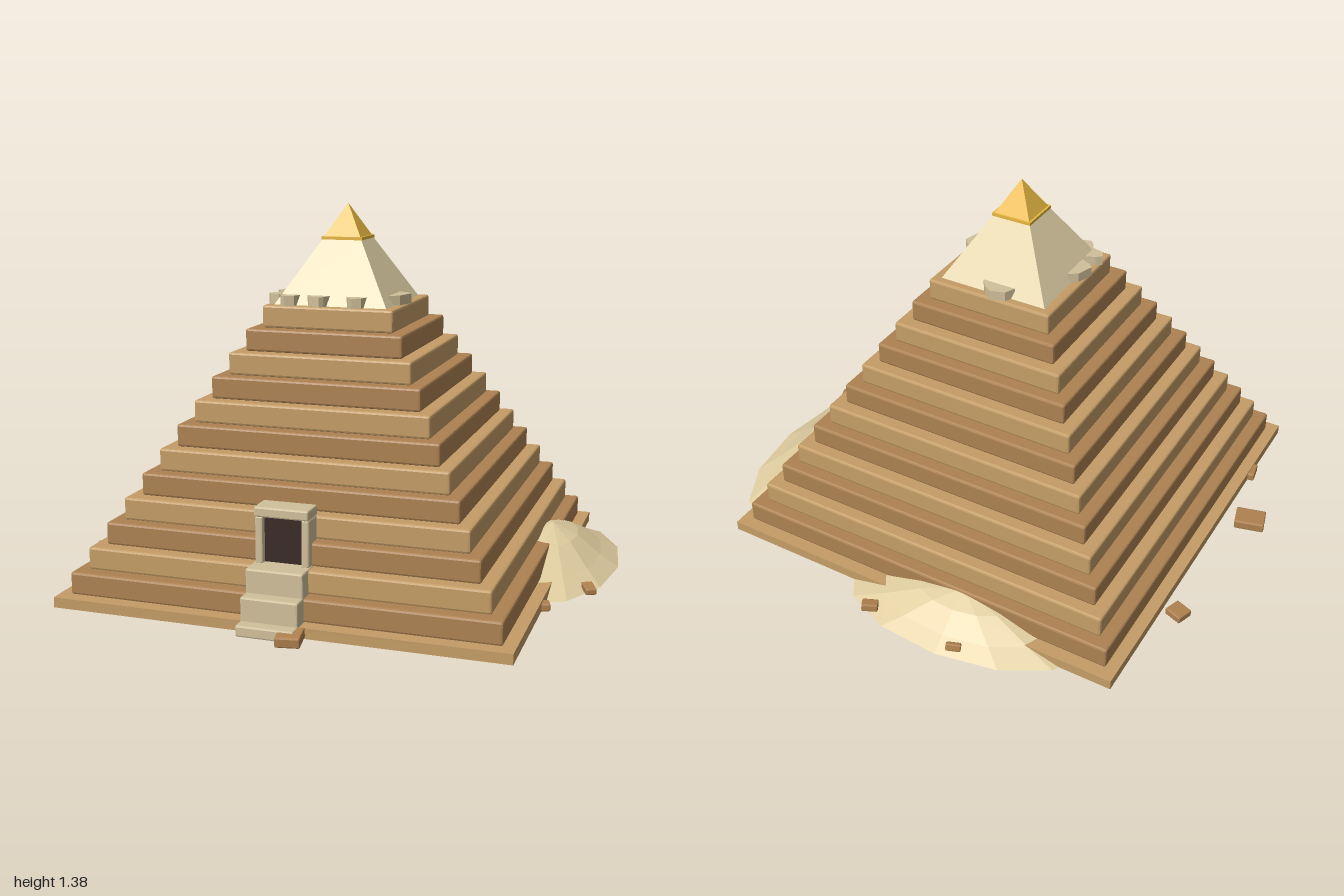
import * as THREE from 'three';
import { RoundedBoxGeometry } from 'three/addons/geometries/RoundedBoxGeometry.js';

const mat = (color, side = THREE.FrontSide) =>
  new THREE.MeshStandardMaterial({ color, flatShading: true, side });

const M = {
  light: mat(0xc49d66), dark: mat(0xad8252), casing: mat(0xe3d3a8), gold: mat(0xe8b840),
  stone: mat(0xd0c09a), doorway: mat(0x3a2a25), sand: mat(0xe0cda0, THREE.DoubleSide), brick: mat(0xb0824f),
};

// Centre of the pyramid on the ground
const CX = -0.01, CZ = 0.037;

export function createModel() {
  const root = new THREE.Group();

  const add = (name, geometry, material, x, y, z, parent = root) => {
    const mesh = new THREE.Mesh(geometry, material);
    mesh.name = name;
    mesh.position.set(x, y, z);
    parent.add(mesh);
    return mesh;
  };

  // Box with chamfered edges, given by its bounds
  const block = (name, material, [x0, x1], [y0, y1], [z0, z1], bevel = 0.006) =>
    add(name, new RoundedBoxGeometry(x1 - x0, y1 - y0, z1 - z0, 1, bevel), material,
      (x0 + x1) / 2, (y0 + y1) / 2, (z0 + z1) / 2);

  // Square frustum; the radii are half side lengths
  const frustum = (name, material, top, bottom, y0, y1) => {
    const g = new THREE.CylinderGeometry(top * Math.SQRT2, bottom * Math.SQRT2, y1 - y0, 4, 1);
    g.rotateY(Math.PI / 4);
    return add(name, g, material, CX, (y0 + y1) / 2, CZ);
  };

  // Base slab and stepped tiers
  const slab = 0.037, tierHeight = 0.0818, tiers = 12;
  add('baseSlab', new THREE.BoxGeometry(1.63, slab, 1.636), M.light, CX, slab / 2, CZ);
  for (let i = 0; i < tiers; i++) {
    const half = 0.772 - i * 0.0477, y = slab + i * tierHeight;
    block('tier' + (i + 1), i % 2 ? M.light : M.dark,
      [CX - half, CX + half], [y, y + tierHeight], [CZ - half, CZ + half], 0.008);
  }

  // Smooth casing and golden capstone
  const top = slab + tiers * tierHeight;
  frustum('casing', M.casing, 0.074, 0.213, top, 1.25);
  frustum('capstoneRim', M.gold, 0.078, 0.078, 1.248, 1.259);
  frustum('capstone', M.gold, 0, 0.07, 1.259, 1.38);

  // Broken casing stones around the casing foot: x, z, width, direction outwards
  const chips = new THREE.Group();
  chips.name = 'brokenCasing';
  root.add(chips);
  [
    [-0.17, 0.245, 0.08, 0], [-0.06, 0.245, 0.09, 0], [0.085, 0.245, 0.08, 0],
    [0.205, 0.09, 0.15, Math.PI / 2], [-0.03, -0.18, 0.13, Math.PI],
    [-0.228, 0.08, 0.12, -Math.PI / 2], [-0.228, 0.2, 0.07, -Math.PI / 2],
  ].forEach(([x, z, w, turn], i) => {
    const skew = i % 2 ? 0.12 : -0.15;
    const outline = new THREE.Shape([
      [-0.5, 0.02], [0.5, 0.02], [0.36, -0.02], [0.1 + skew, -0.036], [-0.3, -0.015],
    ].map(([px, py]) => new THREE.Vector2(px * w, py)).reverse());
    const g = new THREE.ExtrudeGeometry(outline, { depth: 0.036, bevelEnabled: false });
    g.rotateX(-Math.PI / 2);
    add('casingChip', g, M.stone, x, top, z, chips).rotation.y = turn;
  });

  // Doorway with posts, sill and lintel
  block('doorOpening', M.doorway, [-0.085, 0.065], [0.2, 0.37], [0.62, 0.722], 0.002);
  for (const x of [-0.108, 0.058]) block('doorPost', M.stone, [x, x + 0.028], [0.2, 0.368], [0.66, 0.743]);
  block('doorLintel', M.stone, [-0.11, 0.086], [0.366, 0.402], [0.655, 0.748]);

  // Stairs to the door
  [[0.205, 0.815], [0.122, 0.865], [0.04, 0.91]].forEach(([h, front]) =>
    block('stair', M.stone, [-0.115, 0.09], [0, h], [0.65, front]));

  // Sand drift: low mound of three rings under a peak
  const dune = (name, x, z, rx, rz, height, turn) => {
    const rings = [[1, 0], [0.73, 0.28], [0.38, 0.72], [0, 1]];
    const g = new THREE.LatheGeometry(
      [[0, 0], ...rings].map(([r, h]) => new THREE.Vector2(r, h)), 12);
    g.scale(rx, height, rz);
    add(name, g, M.sand, x, 0, z).rotation.y = turn;
  };
  dune('sideDune', 0.745, -0.2, 0.255, 0.5, 0.155, 0);
  dune('backDune', -0.2, -0.715, 0.47, 0.23, 0.118, 0.06);

  // Fallen bricks: x, y, z, width, height, depth, turn, tilt
  [
    [-0.93, 0.018, 0.25, 0.115, 0.036, 0.09, 0.25, 0],
    [-0.885, 0.014, -0.345, 0.07, 0.028, 0.065, -0.35, 0],
    [0.075, 0.018, 0.9, 0.085, 0.036, 0.09, 0.15, 0.08],
    [0.935, 0.02, 0.13, 0.04, 0.024, 0.07, 0.4, 0.1],
    [0.81, 0.014, 0.34, 0.04, 0.028, 0.045, 0.3, 0],
    [-0.825, 0.016, 0.53, 0.04, 0.032, 0.075, 0.15, 0],
    [0.1, 0.028, -0.885, 0.06, 0.03, 0.04, 0.5, 0.15],
    [-0.27, 0.028, -0.905, 0.055, 0.03, 0.02, 0.5, 0.3],
  ].forEach(([x, y, z, w, h, d, turn, tilt]) =>
    add('fallenBrick', new RoundedBoxGeometry(w, h, d, 1, 0.005), M.brick, x, y, z)
      .rotation.set(tilt, turn, 0));

  return root;
}
